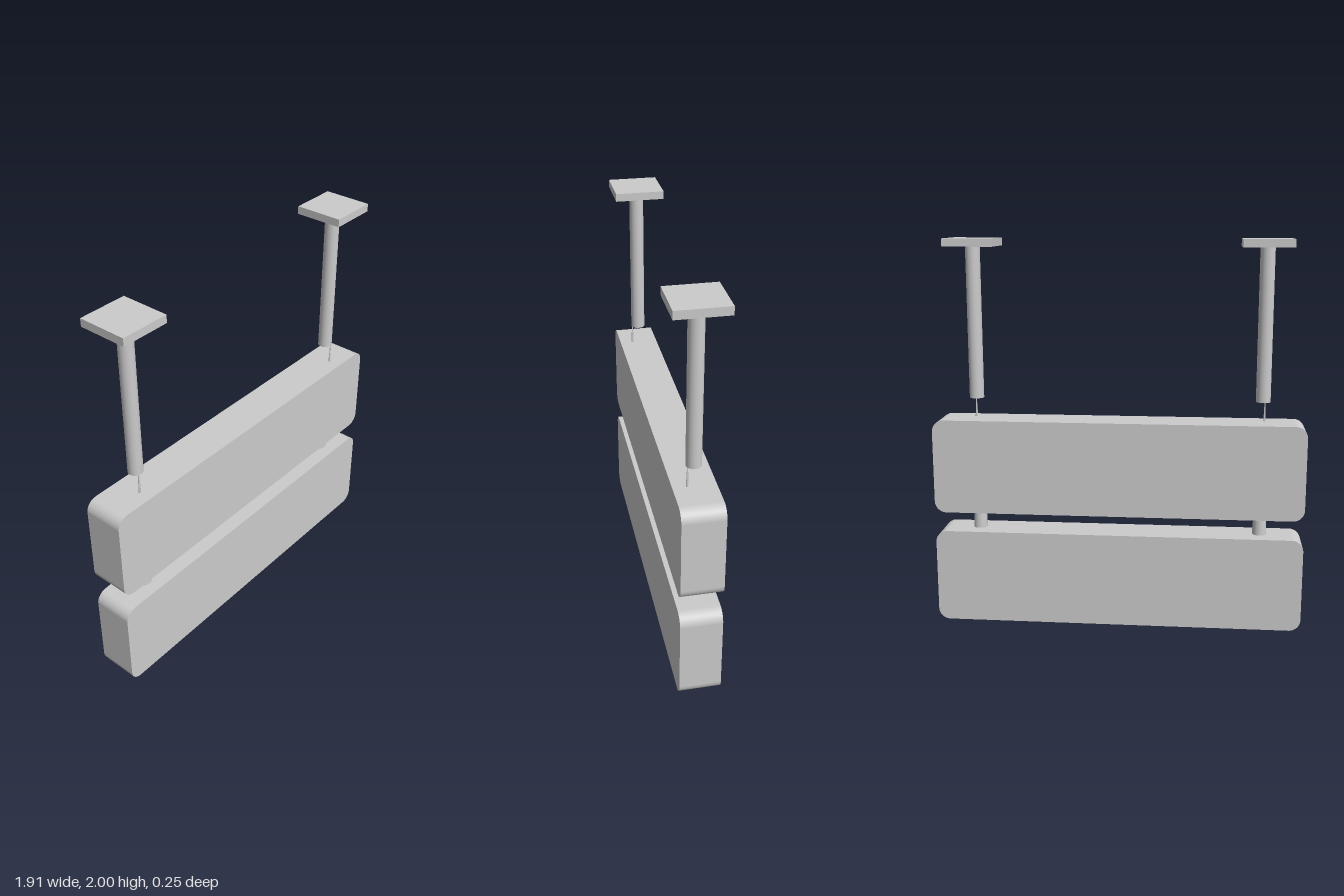
import * as THREE from 'three';

const material = new THREE.MeshStandardMaterial({ color: 0xcccccc });

function addPart(parent, name, geometry, x, y, z) {
  const mesh = new THREE.Mesh(geometry, material);
  mesh.name = name;
  mesh.position.set(x, y, z);
  parent.add(mesh);
  return mesh;
}

// Rounded-corner board, extruded front to back
function boardGeometry(w, h, d, r) {
  const x = w / 2, y = h / 2;
  const s = new THREE.Shape();
  s.moveTo(-x + r, -y);
  s.lineTo(x - r, -y);
  s.absarc(x - r, -y + r, r, -Math.PI / 2, 0);
  s.lineTo(x, y - r);
  s.absarc(x - r, y - r, r, 0, Math.PI / 2);
  s.lineTo(-x + r, y);
  s.absarc(-x + r, y - r, r, Math.PI / 2, Math.PI);
  s.lineTo(-x, -y + r);
  s.absarc(-x + r, -y + r, r, Math.PI, Math.PI * 1.5);
  const g = new THREE.ExtrudeGeometry(s, { depth: d, bevelEnabled: false, curveSegments: 10 });
  g.translate(0, 0, -d / 2);
  // Smooth the rim only: wall normals follow the rounded outline
  const p = g.attributes.position, n = g.attributes.normal;
  for (let i = 0; i < p.count; i++) {
    if (Math.abs(n.getZ(i)) > 0.5) continue;
    const dx = p.getX(i) - THREE.MathUtils.clamp(p.getX(i), -x + r, x - r);
    const dy = p.getY(i) - THREE.MathUtils.clamp(p.getY(i), -y + r, y - r);
    const len = Math.hypot(dx, dy);
    n.setXYZ(i, dx / len, dy / len, 0);
  }
  return g;
}

export function createModel() {
  const model = new THREE.Group();
  model.name = 'hangingSign';

  // Two stacked sign boards
  const board = boardGeometry(1.908, 0.49, 0.205, 0.06);
  addPart(model, 'lowerBoard', board, -0.002, 0.248, -0.003);
  addPart(model, 'upperBoard', board, -0.002, 0.84, -0.003);

  for (const side of [-1, 1]) {
    const hanger = new THREE.Group();
    hanger.name = side > 0 ? 'leftHanger' : 'rightHanger';
    model.add(hanger);
    const x = side * 0.735;

    // Ceiling plate and pole
    addPart(hanger, 'ceilingPlate', new THREE.BoxGeometry(0.25, 0.04, 0.25), x, 1.98, 0);
    addPart(hanger, 'pole', new THREE.CylinderGeometry(0.037, 0.037, 0.77, 24), x, 1.575, 0);

    // Thin pin from the pole to the upper board
    addPart(hanger, 'pin', new THREE.CylinderGeometry(0.002, 0.007, 0.115, 6), side * 0.746, 1.137, 0.03);

    // Short tapered link between the boards
    addPart(hanger, 'link', new THREE.CylinderGeometry(0.031, 0.037, 0.12, 24), x, 0.548, 0.002);
  }
  return model;
}
